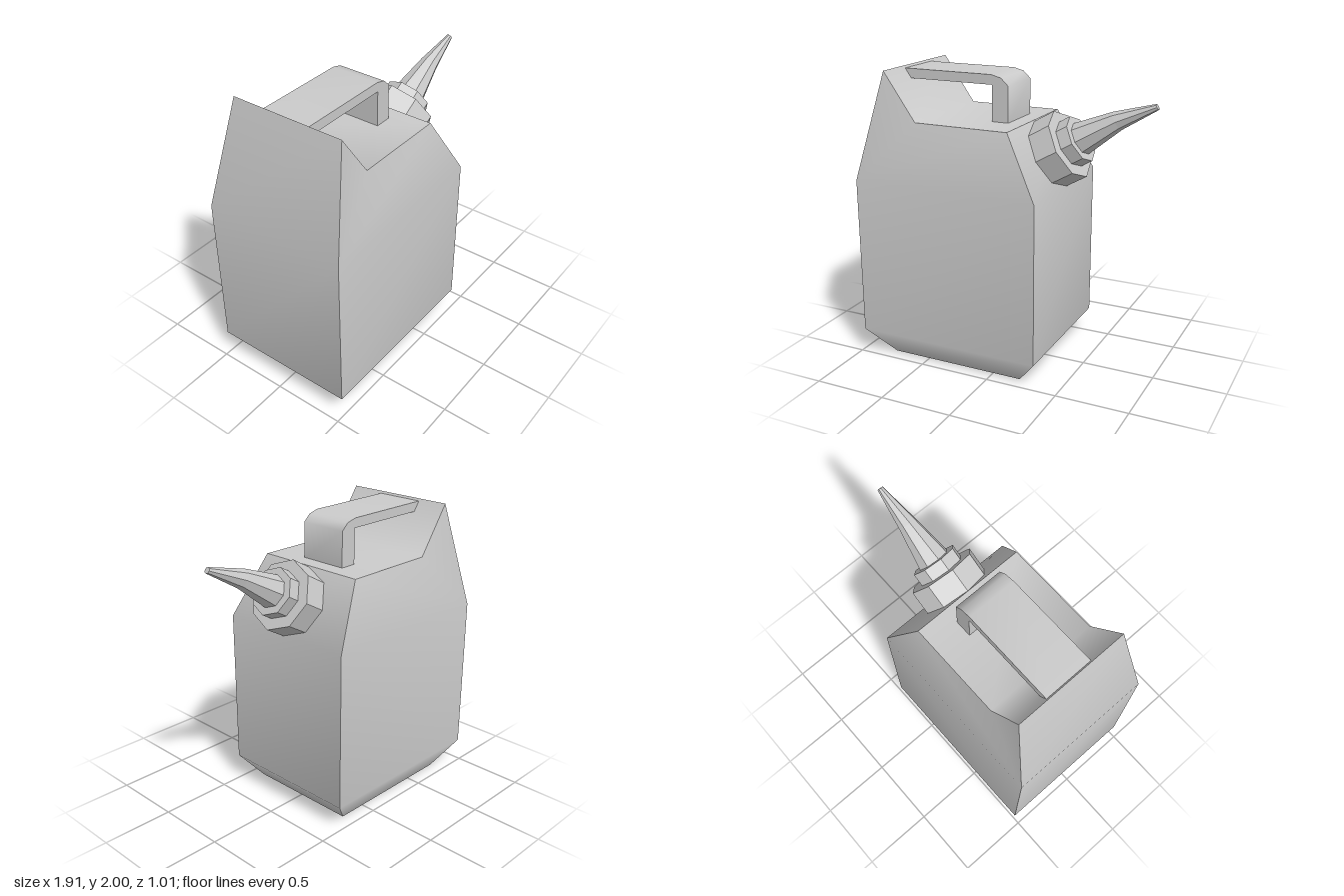
import * as THREE from 'three';
import { toCreasedNormals, mergeGeometries } from 'three/addons/utils/BufferGeometryUtils.js';

const smooth = new THREE.MeshStandardMaterial({ color: 0xcccccc });
const faceted = new THREE.MeshStandardMaterial({ color: 0xcccccc, flatShading: true });

function addMesh(parent, name, geometry, material) {
  const mesh = new THREE.Mesh(geometry, material);
  mesh.name = name;
  parent.add(mesh);
  return mesh;
}

// One wall with shared vertices, smooth inside and sharp at its border
function panel(points, index) {
  const g = new THREE.BufferGeometry();
  g.setAttribute('position', new THREE.Float32BufferAttribute(points.flat(), 3));
  g.setIndex(index);
  g.computeVertexNormals();
  return g;
}

// Quad strip between a row of left points and a row of right points
function strip(left, right) {
  const n = left.length;
  const index = [];
  for (let i = 0; i < n - 1; i++) {
    index.push(i, n + i, n + i + 1, i, n + i + 1, i + 1);
  }
  return panel([...left, ...right], index);
}

// Canister shell: chamfered foot, straight walls, sloped shoulders, raised rear ridge
function bodyGeometry() {
  const hw = 0.505, tw = 0.4;
  const back = [[-0.77, 0, tw], [-0.96, 0.18, hw], [-0.96, 1.27, hw], [-0.775, 2, tw]];
  const front = [[0.2, 0, tw], [0.345, 0.18, hw], [0.345, 1.27, hw], [0.11, 1.68, tw]];
  const top = [front[3], [-0.55, 1.68, tw], back[3]];
  const flip = (row) => row.map(([x, y, z]) => [x, y, -z]);

  const sidePoints = [...back, ...front, top[1]];
  const sideIndex = [0, 4, 5, 0, 5, 1, 1, 5, 6, 1, 6, 2, 2, 6, 7, 2, 7, 8, 2, 8, 3];
  return mergeGeometries([
    panel(sidePoints, sideIndex),
    panel(flip(sidePoints), [...sideIndex].reverse()),
    strip(front, flip(front)),
    strip(flip(back), back),
    strip(top, flip(top)),
    strip([back[0], front[0]], flip([back[0], front[0]])),
  ]);
}

// Flat bar handle with a rounded front bend
function handleGeometry() {
  const profile = [
    [-0.765, 1.92], [-0.115, 1.92], [-0.115, 1.67], [0, 1.67],
    [0, 1.92], [-0.05, 1.967], [-0.12, 1.985], [-0.765, 1.985],
  ].map(([x, y]) => new THREE.Vector2(x, y));
  const g = new THREE.ExtrudeGeometry(new THREE.Shape(profile), { depth: 0.34, bevelEnabled: false });
  g.translate(0, 0, -0.185);
  return toCreasedNormals(g, 0.9);
}

// Tapered nozzle, bent slightly downward halfway along
function nozzleGeometry() {
  const rings = [
    { y: 0, x: 0, r: 0.11 },
    { y: 0.281, x: 0, r: 0.063 },
    { y: 0.554, x: 0.032, r: 0.02 },
  ];
  const g = new THREE.CylinderGeometry(1, 1, 1, 8, 2);
  const p = g.attributes.position;
  for (let i = 0; i < p.count; i++) {
    const ring = rings[Math.round((p.getY(i) + 0.5) * 2)];
    p.setXYZ(i, p.getX(i) * ring.r + ring.x, ring.y, p.getZ(i) * ring.r);
  }
  return g;
}

export function createModel() {
  const model = new THREE.Group();
  model.name = 'jerryCan';
  addMesh(model, 'body', bodyGeometry(), smooth);
  addMesh(model, 'handle', handleGeometry(), smooth);

  // Spout stands square on the front shoulder
  const spout = new THREE.Group();
  spout.name = 'spout';
  spout.position.set(0.233, 1.468, 0);
  spout.rotation.z = -Math.PI / 3;
  addMesh(spout, 'cap', new THREE.CylinderGeometry(0.237, 0.237, 0.16, 8), faceted).position.y = 0.08;
  addMesh(spout, 'collar', new THREE.CylinderGeometry(0.16, 0.16, 0.09, 8), faceted).position.y = 0.2;
  addMesh(spout, 'nozzle', nozzleGeometry(), faceted).position.y = 0.244;
  model.add(spout);
  return model;
}
